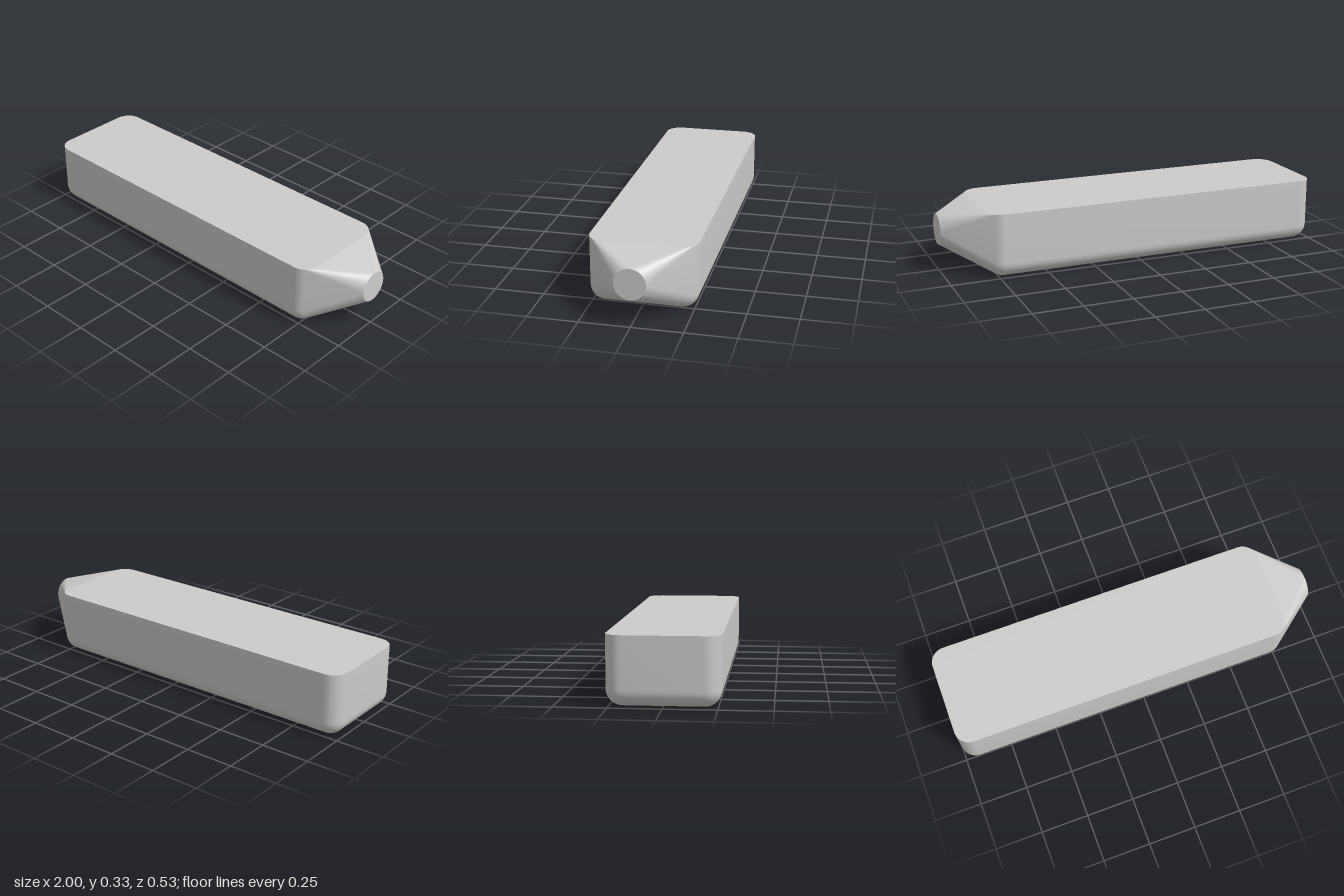
import * as THREE from 'three';
import { ConvexGeometry } from 'three/addons/geometries/ConvexGeometry.js';
import { toCreasedNormals } from 'three/addons/utils/BufferGeometryUtils.js';

const HALF_WIDTH = 0.266, HEIGHT = 0.331, BACK = -1, SHOULDER = 0.8;
const RADIUS = 0.079; // rounding of the lower edges and upright corners
const TIP = { x: 1, y: 0.215, radius: 0.078 };
const STEPS = 12; // segments per quarter turn

export function createModel() {
  const group = new THREE.Group();
  const points = [];

  // Four upright corners, each a quarter round ending in a ball below
  for (const sx of [-1, 1]) {
    for (const sz of [-1, 1]) {
      const cx = sx < 0 ? BACK + RADIUS : SHOULDER - RADIUS;
      const cz = sz * (HALF_WIDTH - RADIUS);
      for (let i = 0; i <= STEPS; i++) {
        const a = (i / STEPS) * Math.PI / 2;
        const dx = sx * Math.cos(a), dz = sz * Math.sin(a);
        points.push(new THREE.Vector3(cx + RADIUS * dx, HEIGHT, cz + RADIUS * dz));
        for (let j = 0; j < STEPS; j++) {
          const b = (j / STEPS) * Math.PI / 2, r = RADIUS * Math.cos(b);
          points.push(new THREE.Vector3(cx + r * dx, RADIUS * (1 - Math.sin(b)), cz + r * dz));
        }
      }
      points.push(new THREE.Vector3(cx, 0, cz));
    }
  }

  // Round flat tip that the shoulders taper towards
  for (let i = 0; i < STEPS * 4; i++) {
    const a = (i / (STEPS * 4)) * Math.PI * 2;
    points.push(new THREE.Vector3(TIP.x, TIP.y + TIP.radius * Math.sin(a), TIP.radius * Math.cos(a)));
  }

  // Skin stretched over corners and tip
  const geometry = toCreasedNormals(new ConvexGeometry(points), 0.17);
  const body = new THREE.Mesh(geometry, new THREE.MeshStandardMaterial({ color: 0xcccccc }));
  body.name = 'taperedBody';
  group.add(body);
  return group;
}
